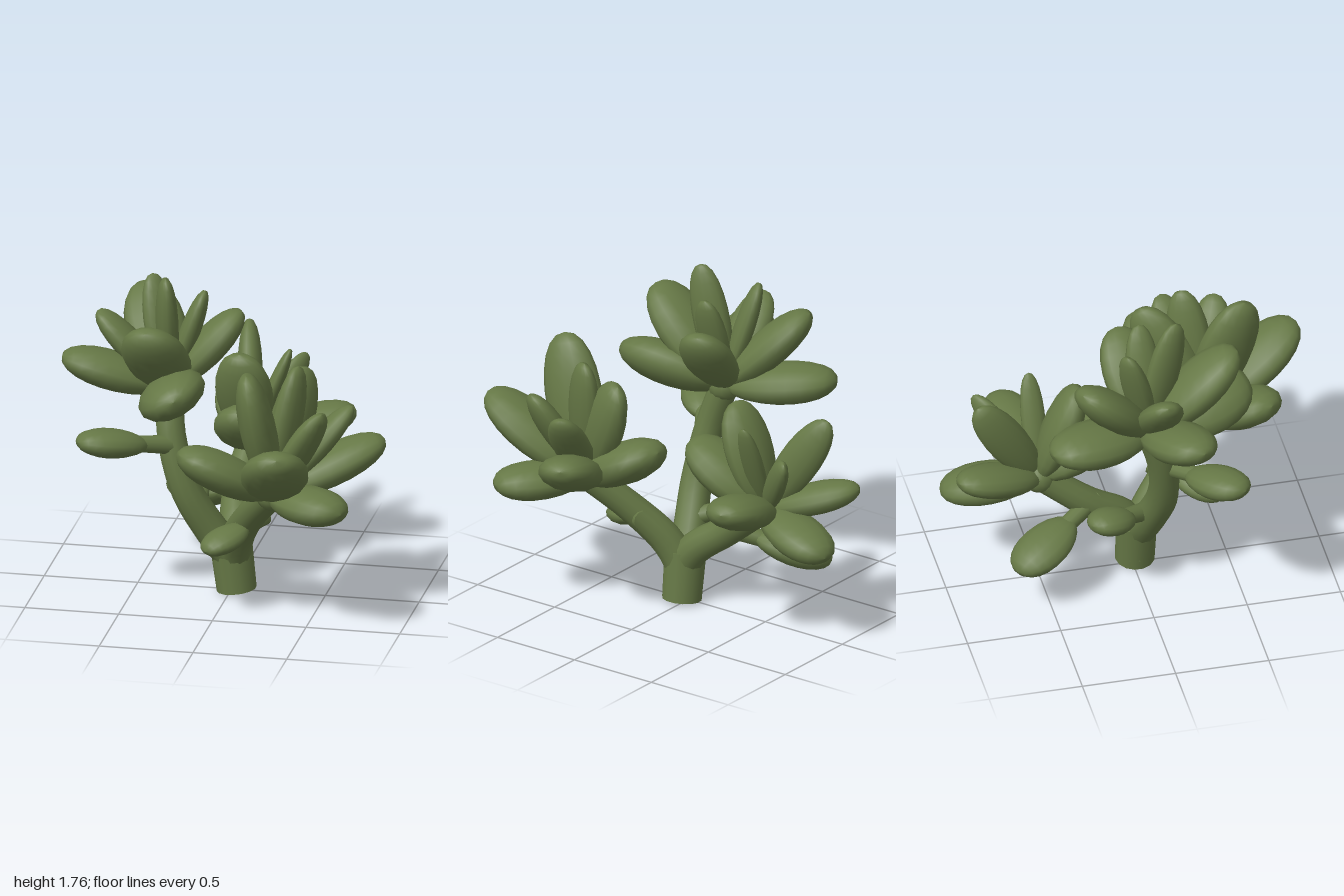
import * as THREE from 'three';

const V = (p) => new THREE.Vector3(...p);

export function createModel() {
  const plant = new THREE.Group();
  plant.name = 'succulentPlant';
  const green = new THREE.MeshStandardMaterial({ color: 0x667846 });
  green.name = 'leafGreen';

  // One paddle leaf: slim foot, widest past the middle, blunt rounded tip
  const profile = [];
  for (let i = 0; i <= 10; i++) {
    const a = THREE.MathUtils.lerp(0.25, Math.PI, i / 10);
    profile.push(new THREE.Vector2(Math.pow(Math.max(Math.sin(a), 0), 0.9), Math.pow((1 - Math.cos(a)) / 2, 0.85)));
  }
  const leafGeometry = new THREE.LatheGeometry(profile, 14);

  // Leaf from base to tip, lying flat unless twisted about its own length
  function addLeaf(parent, name, from, tip, width, twist = 0) {
    const axis = tip.clone().sub(from);
    const length = axis.length();
    axis.normalize();
    const side = new THREE.Vector3().crossVectors(axis, plant.up).normalize();
    const normal = new THREE.Vector3().crossVectors(side, axis);
    const leaf = new THREE.Mesh(leafGeometry, green);
    leaf.name = name;
    leaf.quaternion.setFromRotationMatrix(new THREE.Matrix4().makeBasis(side, axis, normal));
    leaf.rotateY(twist);
    leaf.position.copy(from);
    leaf.scale.set(width / 2, length, width * 0.3);
    parent.add(leaf);
  }

  // Tapered branch: a tube whose rings shrink toward the tip
  function addBranch(name, points, r0, r1) {
    const curve = new THREE.CatmullRomCurve3(points);
    const rings = 18, sides = 12;
    const geometry = new THREE.TubeGeometry(curve, rings, 1, sides, false);
    const pos = geometry.attributes.position;
    const p = new THREE.Vector3();
    for (let i = 0; i <= rings; i++) {
      const centre = curve.getPointAt(i / rings);
      const r = r1 + (r0 - r1) * Math.pow(1 - i / rings, 1.5);
      for (let j = 0; j <= sides; j++) {
        const k = i * (sides + 1) + j;
        p.fromBufferAttribute(pos, k).sub(centre).multiplyScalar(r).add(centre);
        pos.setXYZ(k, p.x, p.y, p.z);
      }
    }
    const mesh = new THREE.Mesh(geometry, green);
    mesh.name = name;
    plant.add(mesh);
  }

  // Trunk foot
  const foot = new THREE.Mesh(new THREE.CylinderGeometry(0.112, 0.105, 0.27, 14), green);
  foot.name = 'trunk';
  foot.position.set(0.015, 0.15, 0.02);
  foot.rotation.z = 0.12;
  plant.add(foot);

  // Branches, each ending in a rosette; leaf rows are [tip x, y, z, width, twist]
  const crowns = [
    {
      name: 'tall', base: [-0.33, 1.11, 0.01],
      path: [[-0.09, 0.34, 0.06], [-0.22, 0.58, 0.11], [-0.3, 0.85, 0.09]],
      leaves: [
        [-0.865, 1.3, 0.19, 0.33],
        [-0.19, 1.23, 0.58, 0.38, 0.5],
        [-0.36, 1.56, 0.48, 0.36],
        [0.04, 1.52, -0.08, 0.3],
        [-0.54, 1.54, -0.39, 0.33],
        [-0.56, 1.19, -0.55, 0.35],
        [-0.71, 1.51, 0.03, 0.24],
        [-0.32, 1.76, 0.16, 0.2, 1.87],
        [-0.14, 1.65, 0, 0.18],
        [-0.45, 1.68, -0.13, 0.18],
      ],
    },
    {
      name: 'front', base: [0.31, 0.71, 0.44],
      path: [[0.05, 0.33, 0.1], [0.16, 0.52, 0.26]],
      leaves: [
        [0.73, 0.72, 0.72, 0.32],
        [0.86, 0.97, 0.2, 0.33],
        [0.44, 1.09, 0.98, 0.36],
        [-0.13, 0.99, 0.72, 0.36],
        [0.35, 0.97, -0.06, 0.38],
        [0.21, 1.43, 0.65, 0.32, 2.24],
        [0.43, 1.4, 0.36, 0.23, 2.19],
        [0.43, 1.32, 0.14, 0.3, 1.47],
        [0.6, 1.22, 0.58, 0.23],
        [0.71, 1.18, 0.31, 0.22],
      ],
    },
    {
      name: 'back', base: [0, 0.65, -0.5],
      path: [[0.01, 0.31, -0.05], [-0.02, 0.45, -0.24]],
      leaves: [
        [0.15, 0.54, -1, 0.31],
        [-0.19, 0.81, -0.97, 0.27],
        [0.54, 0.82, -0.61, 0.32],
        [-0.02, 1.2, -0.29, 0.31],
        [0.06, 0.95, -0.06, 0.36],
        [-0.08, 1.2, -0.85, 0.22, 1.5],
        [0.24, 1.05, -0.8, 0.16, 1.57],
        [0.21, 1.17, -0.51, 0.13],
      ],
    },
  ];
  const stem = [[0.02, 0.06, 0.02], [0.015, 0.18, 0.025]];
  const hubGeometry = new THREE.SphereGeometry(0.09, 14, 10);
  for (const { name, base, path, leaves } of crowns) {
    addBranch(name + 'Branch', [...stem, ...path, base].map(V), 0.1, 0.075);
    const rosette = new THREE.Group();
    rosette.name = name + 'Rosette';
    const core = new THREE.Mesh(hubGeometry, green);
    core.name = 'rosetteCore';
    core.position.set(...base);
    rosette.add(core);
    for (const [x, y, z, width, twist] of leaves) addLeaf(rosette, 'leaf', V(base), V([x, y, z]), width, twist);
    plant.add(rosette);
  }

  // Single leaves on short stalks: [name, root, tip, width]
  const sprouts = [
    ['side', [-0.27, 0.82, 0.1], [-0.73, 0.92, 0.44], 0.25],
    ['lowBack', [-0.01, 0.47, -0.2], [-0.33, 0.29, -0.69], 0.28],
    ['lowSide', [-0.12, 0.42, 0.06], [-0.34, 0.53, -0.29], 0.22],
    ['lowFront', [0.2, 0.48, 0.14], [-0.04, 0.38, 0.49], 0.2],
  ];
  for (const [name, root, tip, width] of sprouts) {
    const start = V(root), end = V(tip);
    addBranch(name + 'Stalk', [start, start.clone().lerp(end, 0.42)], 0.055, 0.045);
    addLeaf(plant, name + 'Leaf', start.clone().lerp(end, 0.3), end, width);
  }

  return plant;
}
